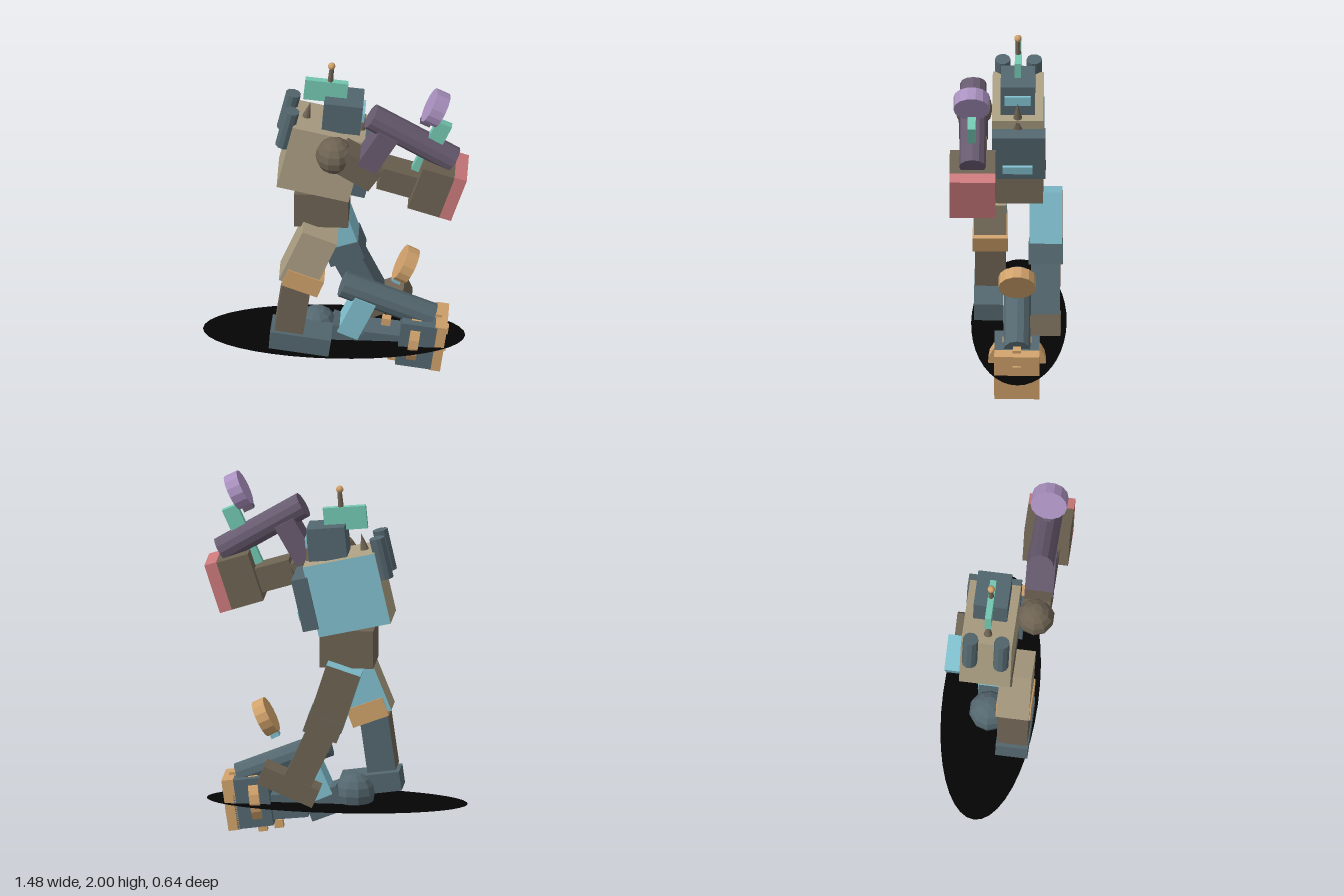
import * as THREE from 'three';

const paint = (name, color) => {
  const m = new THREE.MeshStandardMaterial({ color });
  m.name = name;
  return m;
};

export function createModel() {
  const tan = paint('tan', 0xac9f83), cyan = paint('cyan', 0x80bfce);
  const slate = paint('slate', 0x54676f), brown = paint('brown', 0x6e6353);
  const plum = paint('plum', 0x685b70), lilac = paint('lilac', 0xaa91c0);
  const mint = paint('mint', 0x74c8b2), orange = paint('orange', 0xd0a26b);
  const red = paint('red', 0xcc7a7c), black = paint('black', 0x040404);

  const root = new THREE.Group();
  const MID = -0.055; // centre plane of the body
  const group = (name) => {
    const g = new THREE.Group();
    g.name = name;
    root.add(g);
    return g;
  };
  const place = (parent, name, geo, mat, pos, deg = 0) => {
    const mesh = new THREE.Mesh(geo, mat);
    mesh.name = name;
    mesh.position.set(...pos);
    mesh.rotation.z = THREE.MathUtils.degToRad(deg);
    parent.add(mesh);
    return mesh;
  };
  // Box, optionally with another colour on its far (-z) side
  const box = (parent, name, mat, pos, size, deg = 0, farMat = null) =>
    place(parent, name, new THREE.BoxGeometry(...size),
      farMat ? [mat, mat, mat, mat, mat, farMat] : mat, pos, deg);
  const faceted = (geo) => {
    const g = geo.toNonIndexed();
    g.computeVertexNormals();
    return g;
  };
  const cyl = (r0, r1, h, n = 12) => faceted(new THREE.CylinderGeometry(r0, r1, h, n));
  const cylX = (r, h, n = 14) => cyl(r, r, h, n).rotateZ(Math.PI / 2);
  const ball = (r) => faceted(new THREE.SphereGeometry(r, 10, 8));

  // Round base sheet
  const baseGeo = new THREE.CircleGeometry(1, 40).rotateX(-Math.PI / 2);
  black.side = THREE.DoubleSide;
  place(root, 'baseDisc', baseGeo, black, [-0.015, 0.19, -0.06]).scale.set(0.728, 1, 0.265);

  // Torso, leaning forward
  const body = group('body');
  const LEAN = -12.8;
  box(body, 'torso', tan, [-0.082, 1.408, MID], [0.41, 0.41, 0.285], LEAN, cyan);
  box(body, 'chestPlate', slate, [0.15, 1.35, -0.062], [0.09, 0.3, 0.296], LEAN);
  box(body, 'chestLight', cyan, [0.184, 1.265, MID], [0.02, 0.05, 0.165], LEAN);
  box(body, 'waist', brown, [-0.08, 1.097, MID], [0.3, 0.215, 0.28]);
  for (const [x, y] of [[-0.165, 1.65], [0.14, 1.585]])
    place(body, 'shoulderSpike', faceted(new THREE.ConeGeometry(0.042, 0.17, 10)), brown, [x, y, MID], LEAN);
  for (const s of [-1, 1])
    place(body, 'backPipe', cyl(0.043, 0.043, 0.235, 10), slate, [-0.27, 1.615, MID + s * 0.0875], LEAN);

  // Head with visor, crest and antenna
  const head = group('head');
  box(head, 'skull', slate, [0.035, 1.685, MID], [0.215, 0.185, 0.19], -5.5);
  box(head, 'visor', cyan, [0.143, 1.682, MID], [0.03, 0.055, 0.145], -5.5);
  box(head, 'crest', mint, [-0.06, 1.817, MID], [0.24, 0.13, 0.035], -5.5);
  place(head, 'antennaStem', cyl(0.012, 0.016, 0.12, 8), brown, [-0.031, 1.925, MID], -5);
  place(head, 'antennaTip', ball(0.021), orange, [-0.028, 1.979, MID]);

  // Raised arm
  const arm = group('raisedArm');
  const AZ = 0.19;
  place(arm, 'shoulder', ball(0.106), brown, [0, 1.548, AZ]);
  box(arm, 'upperArm', brown, [0.13, 1.49, AZ], [0.24, 0.15, 0.15], -33);
  box(arm, 'bracket', plum, [0.24, 1.62, AZ], [0.12, 0.25, 0.16], -29.6);
  place(arm, 'armTube', cylX(0.074, 0.535, 12), plum, [0.431, 1.68, AZ], -31);
  box(arm, 'forearm', brown, [0.375, 1.414, AZ], [0.25, 0.142, 0.15], -17);
  box(arm, 'fist', brown, [0.542, 1.398, AZ], [0.185, 0.28, 0.255], -18);
  box(arm, 'knuckles', red, [0.663, 1.361, AZ], [0.07, 0.285, 0.255], -18);
  box(arm, 'strut', mint, [0.54, 1.63, AZ + 0.005], [0.09, 0.355, 0.045], -24);
  place(arm, 'wheel', cylX(0.102, 0.08), lilac, [0.563, 1.89, AZ + 0.005], -27);
  box(arm, 'wheelStub', plum, [0.512, 1.805, AZ], [0.06, 0.05, 0.05], -27);

  // Lowered arm
  const low = group('loweredArm');
  place(low, 'shoulder', ball(0.114), slate, [-0.11, 0.237, MID]);
  box(low, 'upperArm', slate, [0.05, 0.188, MID], [0.2, 0.145, 0.15], -22);
  box(low, 'bracket', cyan, [0.112, 0.335, MID], [0.125, 0.25, 0.16], -24);
  place(low, 'armTube', cylX(0.075, 0.54, 12), slate, [0.283, 0.416, MID], -22);
  box(low, 'forearm', slate, [0.262, 0.167, MID], [0.23, 0.14, 0.15], -6);
  box(low, 'fist', slate, [0.447, 0.194, MID], [0.2, 0.28, 0.25], -8);
  place(low, 'fistRing', cylX(0.16, 0.055, 20), orange, [0.43, 0.2, MID], -8);
  box(low, 'knuckles', orange, [0.567, 0.178, MID], [0.065, 0.29, 0.25], -8);
  for (const [x, y] of [[0.4, 0.028], [0.56, 0.32], [0.595, 0.235], [0.583, 0.125], [0.31, 0.05], [0.275, 0.28]])
    box(low, 'peg', orange, [x, y, MID], [0.05, 0.045, 0.045], -8);
  place(low, 'wheel', cylX(0.104, 0.07), orange, [0.384, 0.66, MID], -27);
  box(low, 'wheelStub', cyan, [0.338, 0.57, MID], [0.05, 0.05, 0.05], -27);

  // Near leg
  const near = group('nearLeg');
  const NZ = 0.1;
  box(near, 'thigh', tan, [-0.148, 0.822, NZ], [0.207, 0.35, 0.18], -22, cyan);
  box(near, 'knee', orange, [-0.177, 0.682, NZ], [0.213, 0.11, 0.195], -21);
  box(near, 'shin', brown, [-0.23, 0.517, NZ], [0.16, 0.35, 0.17], -8, slate);
  box(near, 'foot', slate, [-0.193, 0.268, NZ], [0.335, 0.108, 0.18], -8);

  // Far leg
  const far = group('farLeg');
  const FZ = -0.21;
  box(far, 'thigh', cyan, [-0.02, 0.835, FZ], [0.2, 0.35, 0.18], 18, brown);
  box(far, 'knee', slate, [0.04, 0.672, FZ], [0.2, 0.115, 0.19], 19, brown);
  box(far, 'shin', slate, [0.11, 0.51, FZ], [0.16, 0.35, 0.16], 25, brown);
  box(far, 'foot', brown, [0.235, 0.322, FZ], [0.335, 0.108, 0.17], 23);

  return root;
}
